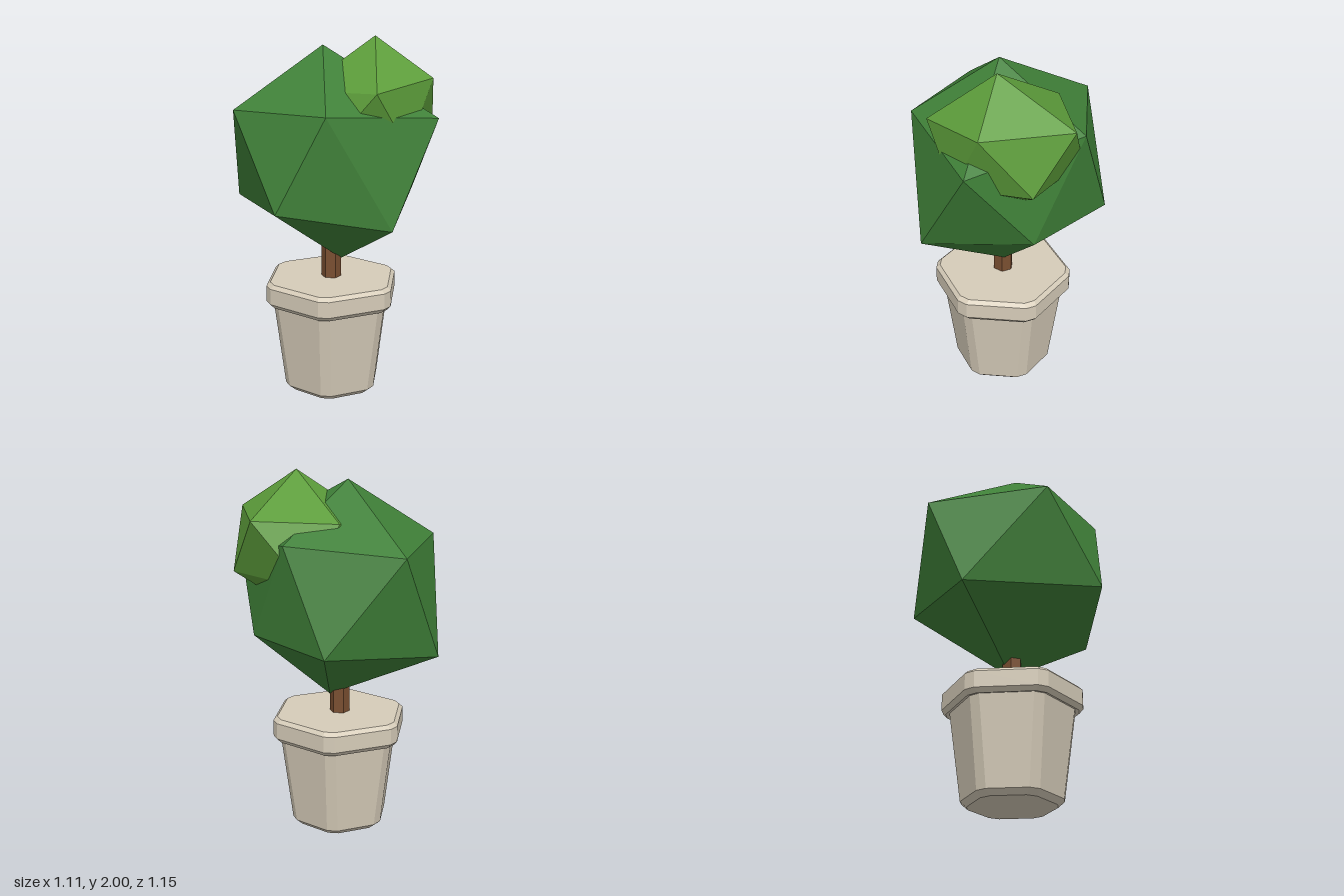
import * as THREE from 'three';

const material = (color) => new THREE.MeshStandardMaterial({ color, flatShading: true, roughness: 0.9 });

function flatGeometry(points, faces) {
  const geometry = new THREE.BufferGeometry();
  geometry.setAttribute('position', new THREE.Float32BufferAttribute(points.flat(), 3));
  geometry.setIndex(faces.flat());
  const flat = geometry.toNonIndexed();
  flat.computeVertexNormals();
  return flat;
}

// Irregular 20-sided crown: a top point, two staggered rings of five, a bottom point
function crownGeometry(top, upper, lower, bottom) {
  const faces = [];
  for (let i = 0; i < 5; i++) {
    const j = (i + 1) % 5;
    const u = 1 + i, uNext = 1 + j, l = 6 + i, lNext = 6 + j;
    faces.push([0, uNext, u], [u, uNext, l], [l, uNext, lNext], [l, lNext, 11]);
  }
  return flatGeometry([top, ...upper, ...lower, bottom], faces);
}

// Hexagonal pot with bevelled corners, lofted through [half width, height] pairs
function potGeometry(profile, bevel) {
  const points = [], faces = [];
  for (const [apothem, y] of profile) {
    for (let k = 0; k < 6; k++) {
      const a = Math.PI / 2 + k * Math.PI / 3;
      const d = apothem / Math.cos(Math.PI / 6) - bevel * Math.tan(Math.PI / 6);
      for (const s of [-bevel, bevel]) {
        points.push([Math.cos(a) * d - Math.sin(a) * s, y, Math.sin(a) * d + Math.cos(a) * s]);
      }
    }
  }
  const n = 12, last = (profile.length - 1) * n;
  for (let r = 0; r < last; r += n) {
    for (let i = 0; i < n; i++) {
      const j = (i + 1) % n;
      faces.push([r + i, r + n + i, r + n + j], [r + i, r + n + j, r + j]);
    }
  }
  // Flat base and flat top
  for (let i = 1; i < n - 1; i++) {
    faces.push([0, i, i + 1], [last, last + i + 1, last + i]);
  }
  return flatGeometry(points, faces);
}

export function createModel() {
  const model = new THREE.Group();
  model.name = 'pottedTree';
  const add = (name, geometry, color) => {
    const mesh = new THREE.Mesh(geometry, material(color));
    mesh.name = name;
    model.add(mesh);
    return mesh;
  };

  // Pot with a thick rim
  const pot = add('pot', potGeometry([
    [0.22, 0], [0.25, 0.03], [0.307, 0.52], [0.325, 0.515],
    [0.345, 0.54], [0.345, 0.63], [0.325, 0.65],
  ], 0.03), 0xd6ccb9);
  pot.position.set(0.003, 0, 0.008);

  // Trunk
  const trunk = add('trunk', new THREE.CylinderGeometry(0.056, 0.056, 0.66, 6), 0x7a4f31);
  trunk.rotation.y = Math.PI / 6;
  trunk.position.set(0.003, 0.97, 0.005);

  // Large dark crown
  add('mainFoliage', crownGeometry(
    [-0.04, 1.95, -0.02],
    [[0.50, 1.67, -0.02], [0.18, 1.59, 0.575], [-0.40, 1.65, 0.27], [-0.45, 1.63, -0.30], [0.17, 1.62, -0.555]],
    [[0.40, 1.13, 0.28], [-0.16, 1.04, 0.52], [-0.555, 1.14, 0.06], [-0.10, 1.05, -0.58], [0.485, 1.11, -0.275]],
    [0.04, 0.75, 0.045],
  ), 0x3f8038);

  // Small light crown growing out of the front left
  add('smallFoliage', crownGeometry(
    [0.115, 2.0, 0.21],
    [[0.55, 1.785, 0.15], [0.22, 1.79, 0.51], [-0.17, 1.75, 0.42], [-0.19, 1.72, -0.06], [0.23, 1.76, -0.175]],
    [[0.45, 1.48, 0.37], [0.03, 1.44, 0.48], [-0.29, 1.41, 0.16], [0.04, 1.41, -0.20], [0.43, 1.45, -0.11]],
    [0.14, 1.20, 0.10],
  ), 0x5c9c3a);

  return model;
}
